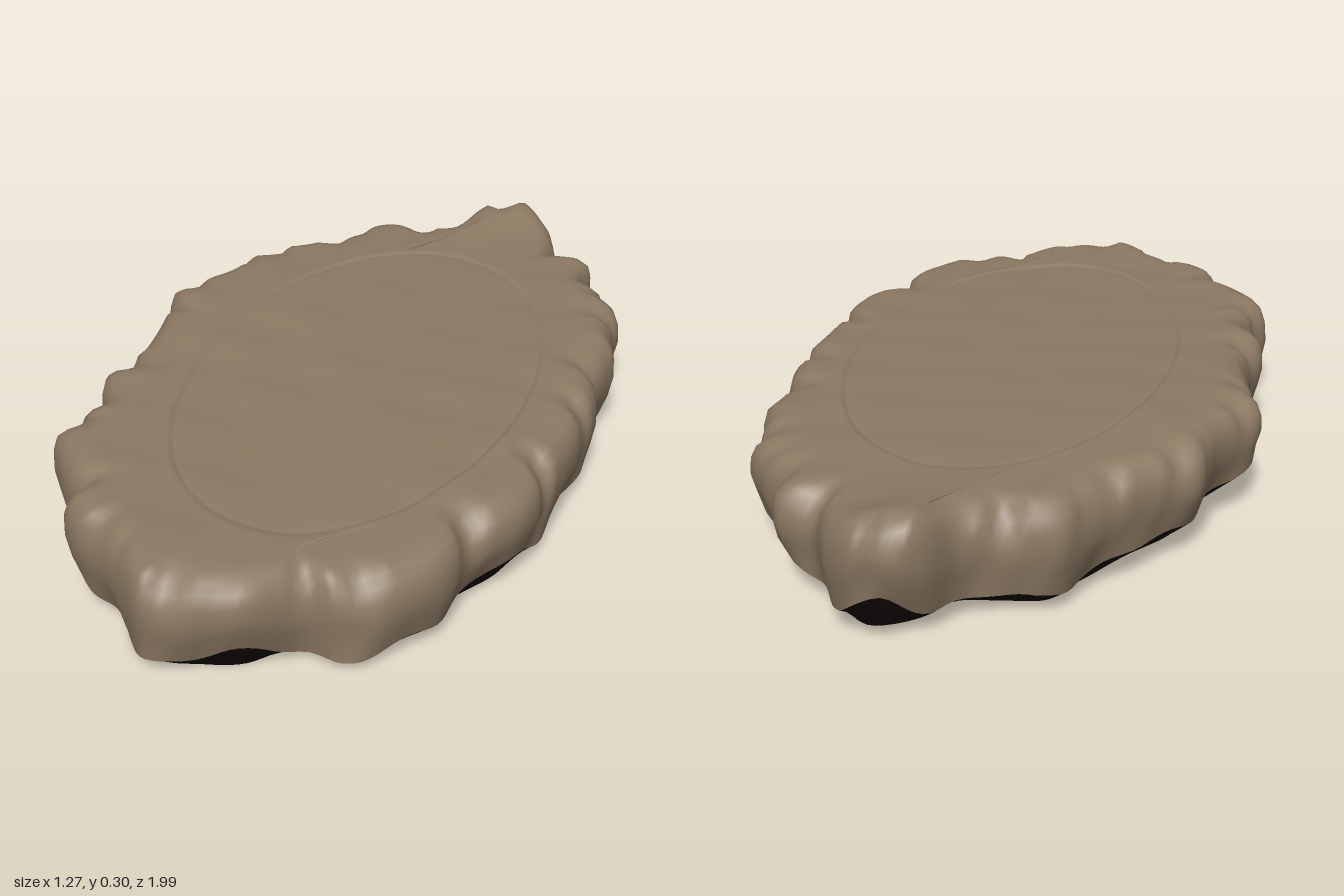
import * as THREE from 'three';

// Slab outline seen from above (x, z), from the back tip round by the left side
const OUTLINE = [
  [-.13, -1], [-.03, -.96], [.06, -.87], [.18, -.84], [.2, -.76], [.3, -.71], [.38, -.64], [.41, -.54],
  [.46, -.46], [.48, -.34], [.53, -.24], [.58, -.06], [.6, .06], [.635, .27], [.6, .42], [.6, .56],
  [.54, .7], [.49, .75], [.41, .77], [.34, .89], [.26, .95], [.16, 1], [.06, .96], [-.03, .92],
  [-.13, .9], [-.2, .86], [-.24, .8], [-.33, .74], [-.42, .66], [-.41, .52], [-.49, .42], [-.51, .25],
  [-.57, .11], [-.635, -.01], [-.59, -.18], [-.6, -.33], [-.53, -.44], [-.47, -.58], [-.44, -.68],
  [-.35, -.74], [-.26, -.8], [-.23, -.9], [-.18, -.97],
];
const N = 260;
const bump = (x, z, cx, cz, s) => Math.exp(-((x - cx) ** 2 + (z - cz) ** 2) / s);

// Gently uneven top surface, with a raised tip at the back
const topY = (x, z) => .264 - .022 * x + .05 * bump(x, z, -.17, -.95, .014)
  + .012 * bump(x, z, -.55, -.1, .1) + .006 * bump(x, z, .15, .95, .05)
  - .008 * bump(x, z, .35, .6, .05)
  + .0015 * Math.sin(9 * x + 31 * z) + .001 * Math.sin(23 * z - 14 * x);

// Underside, sloping up at the right and back edges
const bottomY = (x, z) => .004 + .32 * Math.max(0, -x - .38) + .08 * Math.max(0, -z - .5)
  + .08 * Math.max(0, x - .45);

// Irregular wave round the edge, -1..1
const wave = (t, k, p) => .6 * Math.sin(k * t + p + 1.3 * Math.sin(3 * t + p))
  + .4 * Math.sin(k * 1.0 * 2 * t + 2.1 * p);

function edgePoints() {
  const curve = new THREE.CatmullRomCurve3(
    OUTLINE.map(([x, z]) => new THREE.Vector3(x, 0, z)), true, 'centripetal');
  return curve.getSpacedPoints(N).slice(0, N).map((p, i) => {
    const n = new THREE.Vector2(p.x / .36, p.z / .95).normalize();
    return { x: p.x, z: p.z, nx: n.x, nz: n.y, t: i / N * Math.PI * 2 };
  });
}

const inset = (e, d) => [e.x - e.nx * d, e.z - e.nz * d];

// Closed rings, ordered from underneath, up the wall and in over the top
function loft(rings) {
  const pos = rings.flat(2), index = [];
  for (let r = 0; r < rings.length - 1; r++) {
    for (let i = 0; i < N; i++) {
      const j = (i + 1) % N;
      const a = r * N + i, b = r * N + j, c = a + N, d = b + N;
      index.push(a, c, b, b, c, d);
    }
  }
  const g = new THREE.BufferGeometry();
  g.setAttribute('position', new THREE.Float32BufferAttribute(pos, 3));
  g.setIndex(index);
  g.computeVertexNormals();
  return g;
}

export function createModel() {
  const stone = new THREE.MeshStandardMaterial({ color: 0x8c7963 });
  stone.name = 'stone brown';
  const dark = new THREE.MeshStandardMaterial({ color: 0x170909 });
  dark.name = 'dark underside';
  const edge = edgePoints();

  // Ragged line where the stone meets the dark underside
  const seam = edge.map(e => {
    const [x, z] = inset(e, .03 + .012 * wave(e.t, 11, 2));
    const y = bottomY(x, z) + .03 + .015 * wave(e.t, 13, 1)
      + .045 * (bump(x, z, .58, .32, .008) + bump(x, z, .4, -.6, .008)
        + bump(x, z, .3, .85, .006) + bump(x, z, -.14, -.95, .005));
    return [x, y, z];
  });

  // Underside, from its centre out to the seam
  const under = [0, .35, .7, .9, 1].map(s => edge.map(e => {
    const [x, z] = inset(e, .075);
    return [x * s, bottomY(x * s, z * s), z * s];
  }));
  under.push(seam);

  // Chipped wall: each level has its inset, height fraction and unevenness
  const levels = [[.01, .3, .012], [.002, .5, .008], [.004, .7, .012], [.014, .86, .018], [.035, .955, .02]];
  const body = [seam];
  levels.forEach(([d, f, rough]) => body.push(edge.map((e, i) => {
    const chip = Math.max(0, wave(e.t, 17, .7 + f * 1.2));
    const [x, z] = inset(e, d + rough * chip);
    const y0 = seam[i][1], y1 = topY(x, z) - .025 * chip * f;
    return [x, y0 + (y1 - y0) * f, z];
  })));

  // Rounded rim running onto the top
  [[.065, .012], [.1, .004]].forEach(([d, drop]) => body.push(edge.map(e => {
    const chip = Math.max(0, wave(e.t, 17, 1.9));
    const [x, z] = inset(e, d + .01 * chip);
    return [x, topY(x, z) - drop * chip, z];
  })));

  // Flat top with a shallow oval groove
  const oval = edge.map(e => {
    const a = Math.atan2((e.z - .05) / .67, (e.x - .04) / .41);
    return [.04 + .41 * Math.cos(a) + .11 * Math.sin(a), .05 + .67 * Math.sin(a)];
  });
  const rim = body[body.length - 1];
  const ovalRing = (s, lift) => oval.map(([ox, oz]) => {
    const x = .04 + (ox - .04) * s, z = .05 + (oz - .05) * s;
    return [x, topY(x, z) + lift, z];
  });
  body.push(rim.map(([x, , z], i) => {
    const mx = (x + oval[i][0] * 1.03) / 2, mz = (z + oval[i][1] * 1.03) / 2;
    return [mx, topY(mx, mz), mz];
  }));
  [[1.025, 0], [1.01, .003], [1, -.004], [.985, -.003], [.96, -.001]]
    .forEach(([s, lift]) => body.push(ovalRing(s, lift)));
  for (let k = 11; k >= 0; k--) body.push(ovalRing(k / 12.5, -.002));

  const group = new THREE.Group();
  group.name = 'stoneSlab';
  const add = (name, rings, material) => {
    const mesh = new THREE.Mesh(loft(rings), material);
    mesh.name = name;
    group.add(mesh);
  };
  add('underside', under, dark);
  add('slabBody', body, stone);
  return group;
}
